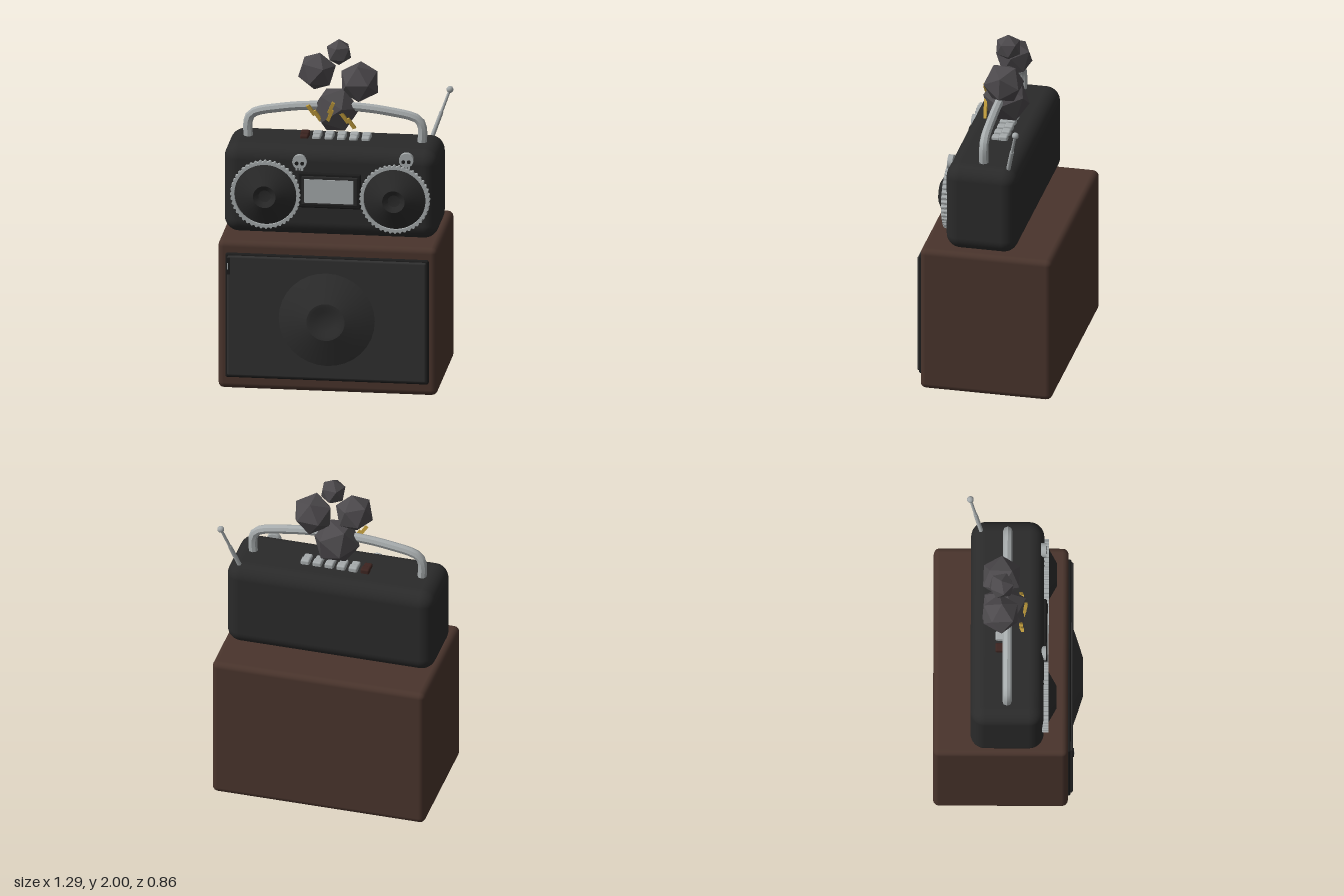
import * as THREE from 'three';
import { toCreasedNormals } from 'three/addons/utils/BufferGeometryUtils.js';
import { RoundedBoxGeometry } from 'three/addons/geometries/RoundedBoxGeometry.js';

const mat = (name, color, extra = {}) => {
  const m = new THREE.MeshStandardMaterial({ color, ...extra });
  m.name = name;
  return m;
};

export function createModel() {
  const model = new THREE.Group();
  model.name = 'boomboxOnSpeaker';

  const wood = mat('brown wood', 0x49342c);
  const casing = mat('charcoal casing', 0x2a2a2a);
  const cloth = mat('grille cloth', 0x303030);
  const black = mat('black trim', 0x1c1c1c);
  const silver = mat('silver metal', 0xa6abac);
  const smokeGrey = mat('smoke grey', 0x4c494c, { flatShading: true });
  const gold = mat('spark gold', 0xc09c3c);
  const redBrown = mat('record button', 0x3c2420);

  const add = (name, geo, material, x = 0, y = 0, z = 0, parent = model) => {
    const m = new THREE.Mesh(geo, material);
    m.name = name;
    m.position.set(x, y, z);
    parent.add(m);
    return m;
  };
  // rounded box given by its extents
  const block = (name, material, [x0, x1], [y0, y1], [z0, z1], r, seg = 2) =>
    add(name, new RoundedBoxGeometry(x1 - x0, y1 - y0, z1 - z0, seg, r), material,
      (x0 + x1) / 2, (y0 + y1) / 2, (z0 + z1) / 2);
  // turned part facing +z, profile as [radius, depth] from rim to centre
  const turned = (profile, seg = 32) => {
    const g = new THREE.LatheGeometry(profile.map(([r, h]) => new THREE.Vector2(r, h)), seg);
    return toCreasedNormals(g.rotateX(Math.PI / 2), 0.35);
  };

  // Speaker cabinet
  block('cabinet', wood, [-0.645, 0.62], [0, 0.885], [-0.43, 0.342], 0.035);
  block('grilleFrame', black, [-0.6, 0.573], [0.073, 0.817], [0.3, 0.358], 0.012);
  block('grille', cloth, [-0.588, 0.561], [0.085, 0.805], [0.32, 0.37], 0.012);
  add('wooferCone', turned([[0.28, 0], [0.2, 0.028], [0.11, 0.057], [0.09, 0.055], [0.06, 0.044], [0.001, 0.038]]),
    cloth, -0.012, 0.445, 0.369);
  add('grilleClip', new THREE.BoxGeometry(0.02, 0.1, 0.008), black, -0.58, 0.745, 0.373);
  add('grilleClipEdge', new THREE.BoxGeometry(0.005, 0.04, 0.006), silver, -0.583, 0.745, 0.376);

  // Boombox body
  block('boomboxBody', casing, [-0.632, 0.603], [0.885, 1.415], [-0.216, 0.203], 0.085, 5);

  // Round speakers with knurled rings
  const ringShape = new THREE.Shape();
  const teeth = 44;
  for (let i = 0; i < teeth * 4; i++) {
    const a = (i / (teeth * 4)) * Math.PI * 2;
    const r = i % 4 < 2 ? 0.203 : 0.195;
    ringShape[i ? 'lineTo' : 'moveTo'](Math.cos(a) * r, Math.sin(a) * r);
  }
  ringShape.closePath();
  ringShape.holes.push(new THREE.Path().absarc(0, 0, 0.179, 0, Math.PI * 2, true));
  const ringGeo = new THREE.ExtrudeGeometry(ringShape, { depth: 0.035, bevelEnabled: false, curveSegments: 40 });
  const coneGeo = turned([[0.182, 0], [0.18, 0.012], [0.15, 0.027], [0.065, 0.076], [0.055, 0.07], [0.035, 0.058], [0.001, 0.052]]);
  for (const [side, x] of [['right', -0.385], ['left', 0.36]]) {
    add(side + 'SpeakerRing', ringGeo, silver, x, 1.135, 0.195);
    add(side + 'SpeakerCone', coneGeo, casing, x, 1.135, 0.2);
  }

  // Cassette door
  block('cassetteFrame', black, [-0.195, 0.165], [1.063, 1.272], [0.17, 0.219], 0.01);
  block('cassetteDoor', casing, [-0.178, 0.148], [1.08, 1.255], [0.19, 0.224], 0.008);
  add('cassetteWindow', new THREE.BoxGeometry(0.285, 0.14, 0.008), silver, -0.02, 1.167, 0.226);

  // Skull badges: cranium, jaw, eyes and teeth gaps
  for (const [x, y] of [[-0.19, 1.332], [0.425, 1.365]]) {
    const skull = new THREE.Group();
    skull.name = 'skullBadge';
    skull.position.set(x, y, 0.2);
    model.add(skull);
    const disc = (r, d) => new THREE.CylinderGeometry(r, r, d, 20).rotateX(Math.PI / 2);
    add('cranium', disc(0.042, 0.03), silver, 0, 0.002, 0, skull);
    add('jaw', new THREE.BoxGeometry(0.044, 0.03, 0.03), silver, 0, -0.034, 0, skull);
    for (const s of [-1, 1]) {
      add('eye', disc(0.011, 0.006), black, s * 0.016, -0.006, 0.014, skull);
      add('toothGap', new THREE.BoxGeometry(0.004, 0.014, 0.006), black, s * 0.008, -0.041, 0.014, skull);
    }
  }

  // Control buttons: stepped keys
  for (let i = 0; i < 6; i++) {
    const x = -0.19 + i * 0.071, m = i ? silver : redBrown;
    block('button', m, [x - 0.026, x + 0.026], [1.39, 1.442], [-0.075, -0.025], 0.01);
    block('buttonFront', m, [x - 0.024, x + 0.024], [1.39, 1.434], [-0.03, 0.02], 0.01);
  }

  // Carrying handle: half path mirrored, swept with an eight-sided tube
  const half = [[0.5, 1.39], [0.503, 1.5], [0.485, 1.543], [0.44, 1.566], [0.33, 1.587], [0.19, 1.605]];
  const pts = [...half.map(([x, y]) => [-x, y]), [0, 1.612], ...half.slice().reverse()]
    .map(([x, y]) => new THREE.Vector3(x - 0.012, y, -0.006));
  const path = new THREE.CatmullRomCurve3(pts, false, 'centripetal');
  const handleGeo = new THREE.TubeGeometry(path, 36, 0.027, 8, false);
  add('handle', toCreasedNormals(handleGeo, 0.6), silver);

  // Telescopic antenna
  const rod = (name, a, b, r0, r1) => {
    const d = b.clone().sub(a);
    const m = add(name, new THREE.CylinderGeometry(r1, r0, d.length(), 10), silver);
    m.position.copy(a).addScaledVector(d, 0.5);
    m.quaternion.setFromUnitVectors(new THREE.Vector3(0, 1, 0), d.normalize());
  };
  const foot = new THREE.Vector3(0.522, 1.385, -0.154), tip = new THREE.Vector3(0.622, 1.668, -0.221);
  const mid = foot.clone().lerp(tip, 0.55);
  rod('antennaLower', foot, mid, 0.013, 0.012);
  rod('antennaUpper', mid, tip, 0.009, 0.008);
  add('antennaTip', new THREE.SphereGeometry(0.02, 12, 8), silver, tip.x, tip.y, tip.z);

  // Smoke puffs
  const puffs = [
    [-0.012, 1.583, -0.025, 0.14, 0.3, 0.5, 0.1],
    [0.125, 1.75, -0.04, 0.122, 0.5, 0.3, -0.5],
    [-0.122, 1.803, -0.045, 0.114, 0.2, 0.7, 0.35],
    [0.005, 1.923, -0.04, 0.078, 0, 0.2, 0.55],
  ];
  for (const [x, y, z, r, a, b, c] of puffs)
    add('smokePuff', new THREE.IcosahedronGeometry(r, 0), smokeGrey, x, y, z).rotation.set(a, b, c);

  // Zigzag sparks
  const bolt = new THREE.Shape([[-0.004, 0.066], [0.016, 0.058], [0.006, 0.012], [0.018, 0.008], [0.004, -0.066],
    [-0.016, -0.058], [-0.006, -0.012], [-0.018, -0.008]].map(([x, y]) => new THREE.Vector2(x, y)));
  const boltGeo = new THREE.ExtrudeGeometry(bolt, { depth: 0.016, bevelEnabled: false });
  for (const [x, y, z, tilt, s] of [[-0.122, 1.59, 0.066, 0.78, 0.95], [-0.026, 1.607, 0.085, -0.2, 0.95], [0.072, 1.552, 0.07, 0.78, 0.95]]) {
    const m = add('spark', boltGeo, gold, x, y, z);
    m.rotation.set(0.15, 0, tilt);
    m.scale.set(s, s, 1);
  }

  return model;
}
